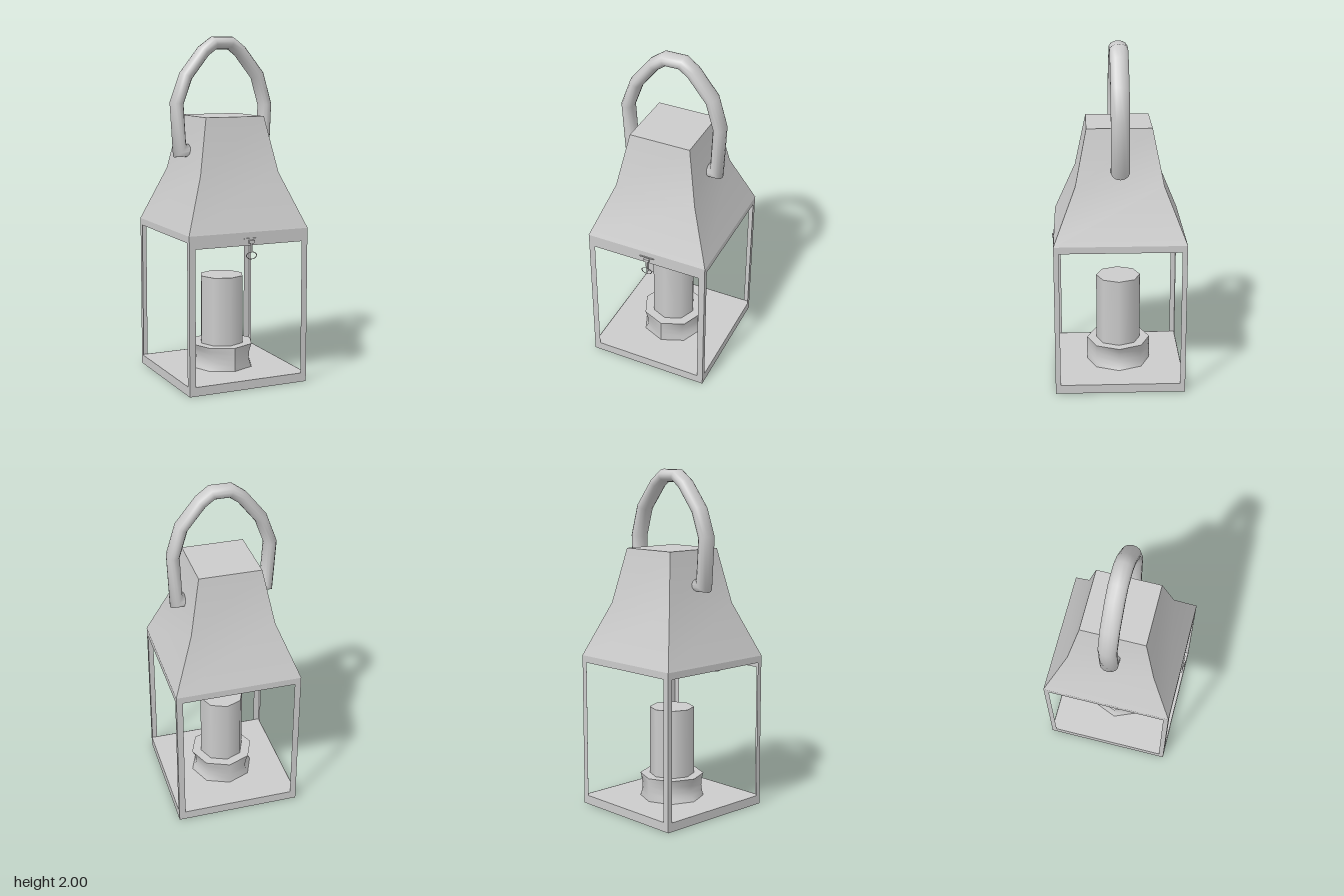
import * as THREE from 'three';

const grey = new THREE.MeshStandardMaterial({ color: 0xcccccc });
const sheet = new THREE.MeshStandardMaterial({ color: 0xcccccc, side: THREE.DoubleSide });
const flat = new THREE.MeshStandardMaterial({ color: 0xcccccc, flatShading: true });
const ZC = -0.008; // the body sits slightly back because of the latch

function add(parent, name, geometry, material = grey, x = 0, y = 0, z = 0) {
  const mesh = new THREE.Mesh(geometry, material);
  mesh.name = name;
  mesh.position.set(x, y, z);
  parent.add(mesh);
  return mesh;
}

function box(parent, name, w, h, d, x, y, z) {
  return add(parent, name, new THREE.BoxGeometry(w, h, d), grey, x, y, z);
}

// Four-sided roof through three levels [y, half width, half depth], smooth over the bend
function roofGeometry(levels) {
  const g = new THREE.BoxGeometry(2, 2, 2, 1, 2, 1);
  const p = g.attributes.position;
  for (let i = 0; i < p.count; i++) {
    const [y, w, d] = levels[Math.round(p.getY(i)) + 1];
    p.setXYZ(i, p.getX(i) * w, y, p.getZ(i) * d);
  }
  g.computeVertexNormals();
  return g;
}

// Thin sheet from the ground to the eaves with a rectangular opening
function framePanel(half, border, openTop) {
  const shape = new THREE.Shape([[-half, 0], [half, 0], [half, 0.91], [-half, 0.91]]
    .map(([x, y]) => new THREE.Vector2(x, y)));
  const w = half - border;
  shape.holes.push(new THREE.Path([[-w, 0.052], [-w, openTop], [w, openTop], [w, 0.052]]
    .map(([x, y]) => new THREE.Vector2(x, y))));
  return new THREE.ShapeGeometry(shape);
}

// Mitred tube with an oval section, following a path in the xy plane
function ovalTube(points, ry, rz, sides) {
  const path = points.map(([x, y]) => new THREE.Vector2(x, y));
  const pos = [], index = [];
  path.forEach((p, i) => {
    const a = p.clone().sub(path[Math.max(i - 1, 0)]).normalize();
    const b = path[Math.min(i + 1, path.length - 1)].clone().sub(p).normalize();
    const t = a.clone().add(b).normalize();
    const stretch = 1 / Math.max(t.dot(i ? a : b), 0.7);
    for (let j = 0; j < sides; j++) {
      const u = (j / sides) * Math.PI * 2;
      const r = Math.cos(u) * ry * stretch;
      pos.push(p.x - t.y * r, p.y + t.x * r, Math.sin(u) * rz);
      if (i) {
        const k = (j + 1) % sides, q = (i - 1) * sides, s = i * sides;
        index.push(q + j, q + k, s + j, q + k, s + k, s + j);
      }
    }
  });
  const g = new THREE.BufferGeometry();
  g.setAttribute('position', new THREE.Float32BufferAttribute(pos, 3));
  g.setIndex(index);
  g.computeVertexNormals();
  return g;
}

export function createModel() {
  const model = new THREE.Group();
  model.name = 'lantern';
  const body = new THREE.Group();
  body.name = 'body';
  body.position.z = ZC;
  model.add(body);

  // Floor, ceiling and the four sheet frames; the front one has a deeper top rail
  const W = 0.369, D = 0.379;
  box(body, 'floor', W * 2 - 0.004, 0.052, D * 2 - 0.004, 0, 0.026, 0);
  box(body, 'ceiling', W * 2 - 0.004, 0.04, D * 2 - 0.004, 0, 0.89, 0);
  add(body, 'frontFrame', framePanel(W, 0.037, 0.835), sheet, 0, 0, D);
  add(body, 'backFrame', framePanel(W, 0.037, 0.87), sheet, 0, 0, -D).rotation.y = Math.PI;
  for (const side of [-1, 1]) {
    const frame = add(body, 'sideFrame', framePanel(D, 0.03, 0.87), sheet, side * W, 0, 0);
    frame.rotation.y = side * Math.PI / 2;
  }

  // Roof
  add(body, 'roof', roofGeometry([[0.91, 0.37, D], [1.225, 0.245, 0.252], [1.545, 0.182, 0.187]]));

  // Candle and its holder, which is pinched across the width only
  add(body, 'candle', new THREE.CylinderGeometry(0.132, 0.132, 0.55, 8), grey, 0, 0.325, 0);
  const profile = [0.05, 0.08, 0.11, 0.145, 0.17, 0.192].map((y) => new THREE.Vector2(0.19, y));
  const holder = new THREE.LatheGeometry(profile, 8);
  const hp = holder.attributes.position;
  for (let i = 0; i < hp.count; i++) {
    const pinch = Math.sin(((hp.getY(i) - 0.05) / 0.142) * Math.PI);
    hp.setX(i, hp.getX(i) * (1 - 0.14 * pinch));
  }
  holder.computeVertexNormals();
  add(body, 'candleHolder', holder);
  const rim = add(body, 'holderTop', new THREE.CircleGeometry(0.19, 8), flat, 0, 0.192, 0);
  rim.rotation.x = -Math.PI / 2;

  // Carrying handle, its ends buried in the roof
  const handle = ovalTube([
    [-0.17, 1.347], [-0.266, 1.347], [-0.283, 1.62], [-0.226, 1.775], [-0.115, 1.915], [-0.05, 1.962],
    [0.055, 1.962], [0.118, 1.915], [0.23, 1.775], [0.28, 1.605], [0.268, 1.316], [0.17, 1.316],
  ], 0.037, 0.054, 14);
  add(model, 'handle', handle, grey, 0, 0, -0.009);

  // Latch with hanging ring
  const latch = new THREE.Group();
  latch.name = 'latch';
  latch.position.set(0.008, 0, 0.377);
  model.add(latch);
  box(latch, 'latchBar', 0.09, 0.004, 0.008, 0, 0.875, -0.003);
  box(latch, 'latchPlate', 0.032, 0.018, 0.014, 0, 0.857, 0.001);
  box(latch, 'latchStem', 0.009, 0.055, 0.006, 0, 0.823, 0);
  const ring = add(latch, 'latchRing', new THREE.TorusGeometry(0.031, 0.003, 6, 20), grey, 0, 0.778, 0);
  ring.scale.set(1, 0.66, 0.6);

  return model;
}
